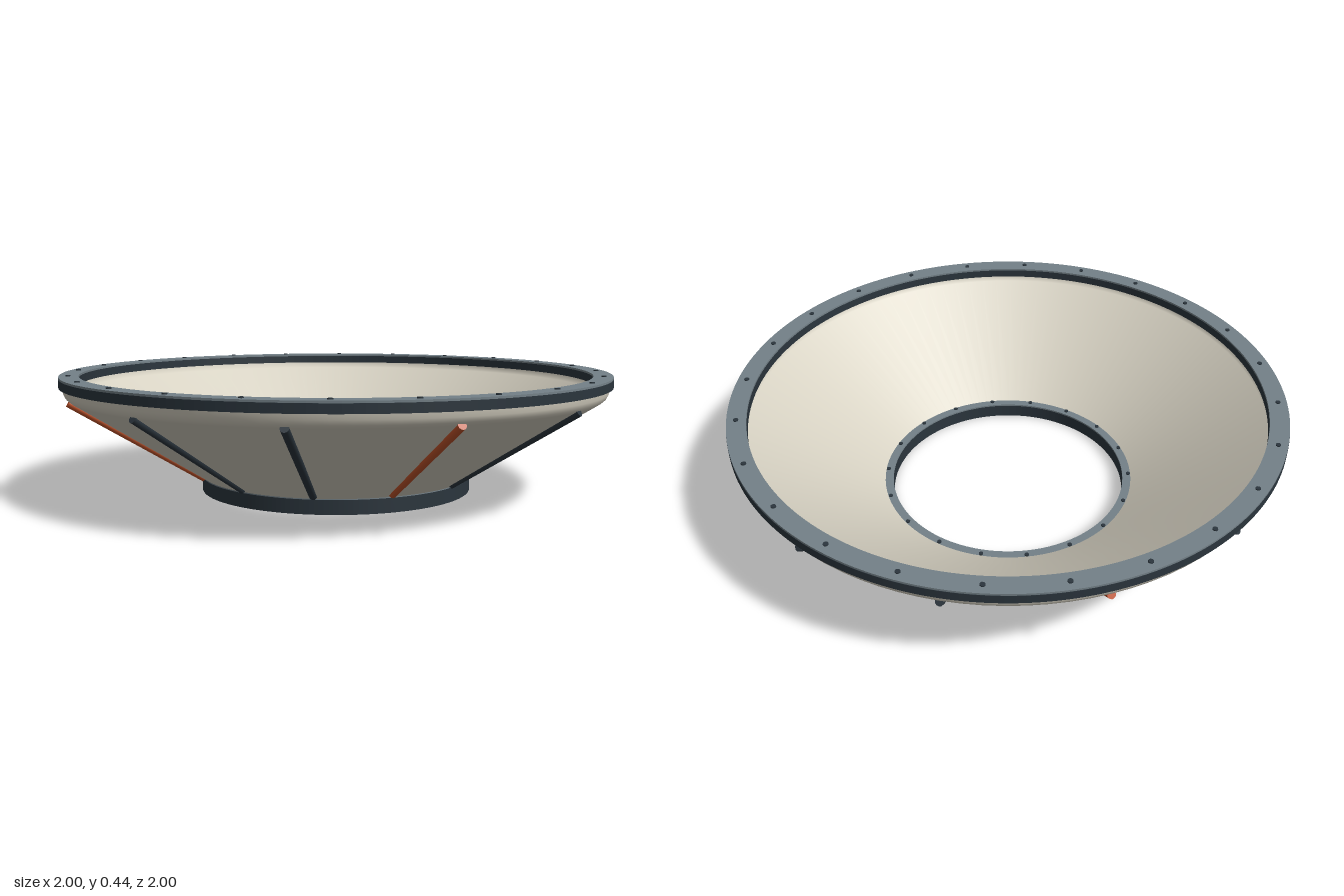
import * as THREE from 'three';

const SEGMENTS = 96;

function material(name, color, side = THREE.FrontSide) {
  const m = new THREE.MeshStandardMaterial({ color, side });
  m.name = name;
  return m;
}

// Flat-edged ring of rectangular section, lying level between y0 and y1
function ring(name, inner, outer, y0, y1, mat) {
  const shape = new THREE.Shape().absarc(0, 0, outer, 0, Math.PI * 2);
  shape.holes.push(new THREE.Path().absarc(0, 0, inner, 0, Math.PI * 2, true));
  const geo = new THREE.ExtrudeGeometry(shape, { depth: y1 - y0, bevelEnabled: false, curveSegments: SEGMENTS });
  geo.rotateX(-Math.PI / 2).translate(0, y0, 0);
  const mesh = new THREE.Mesh(geo, mat);
  mesh.name = name;
  return mesh;
}

// Surface of revolution through [radius, height] points
function lathe(name, points, mat) {
  const geo = new THREE.LatheGeometry(points.map(([r, y]) => new THREE.Vector2(r, y)), SEGMENTS);
  const mesh = new THREE.Mesh(geo, mat);
  mesh.name = name;
  return mesh;
}

// Circle of small bolt heads
function bolts(name, count, radius, y, size, mat) {
  const group = new THREE.Group();
  group.name = name;
  const geo = new THREE.CylinderGeometry(size, size, 0.008, 8);
  for (let i = 0; i < count; i++) {
    const a = ((i + 0.5) / count) * Math.PI * 2;
    const bolt = new THREE.Mesh(geo, mat);
    bolt.name = 'bolt';
    bolt.position.set(Math.sin(a) * radius, y, Math.cos(a) * radius);
    group.add(bolt);
  }
  return group;
}

export function createModel() {
  const model = new THREE.Group();
  model.name = 'conicalAdapter';
  const cream = material('creamPaint', 0xd6d1c2, THREE.DoubleSide);
  const dark = material('darkSteel', 0x2b353d);
  const grey = material('greySteel', 0x748188);
  const orange = material('orangePaint', 0xc0532a);

  // Conical skin: outer face with a rounded lip, and inner face
  model.add(lathe('outerSkin', [[0.485, 0.045], [0.965, 0.352], [0.978, 0.363], [0.986, 0.38], [0.989, 0.402]], cream));
  model.add(lathe('innerSkin', [[0.94, 0.402], [0.935, 0.375], [0.462, 0.05]], cream));

  // Large upper flange with a grey face plate
  model.add(ring('upperFlange', 0.93, 1, 0.398, 0.428, dark));
  model.add(ring('upperFacePlate', 0.93, 0.999, 0.428, 0.435, grey));
  model.add(bolts('upperBolts', 24, 0.966, 0.435, 0.009, dark));

  // Small lower flange
  model.add(ring('lowerFlange', 0.44, 0.5, 0, 0.05, dark));
  model.add(ring('lowerFacePlate', 0.44, 0.498, 0.05, 0.056, grey));
  model.add(bolts('lowerBolts', 18, 0.462, 0.056, 0.008, dark));

  // Twelve ribs along the outside of the cone, every third one orange
  const foot = new THREE.Vector3(0, 0.064, 0.508);
  const head = new THREE.Vector3(0, 0.354, 0.974);
  const path = new THREE.LineCurve3(foot, head);
  const ribGeo = new THREE.CylinderGeometry(0.014, 0.014, path.getLength(), 12);
  ribGeo.rotateX(Math.atan2(head.z - foot.z, head.y - foot.y));
  ribGeo.translate(...path.getPoint(0.5).toArray());
  for (let i = 0; i < 12; i++) {
    const accent = i % 3 === 0;
    const rib = new THREE.Mesh(ribGeo, accent ? orange : dark);
    rib.name = accent ? 'accentRib' : 'rib';
    rib.rotation.y = (i * Math.PI) / 6;
    model.add(rib);
  }
  return model;
}
